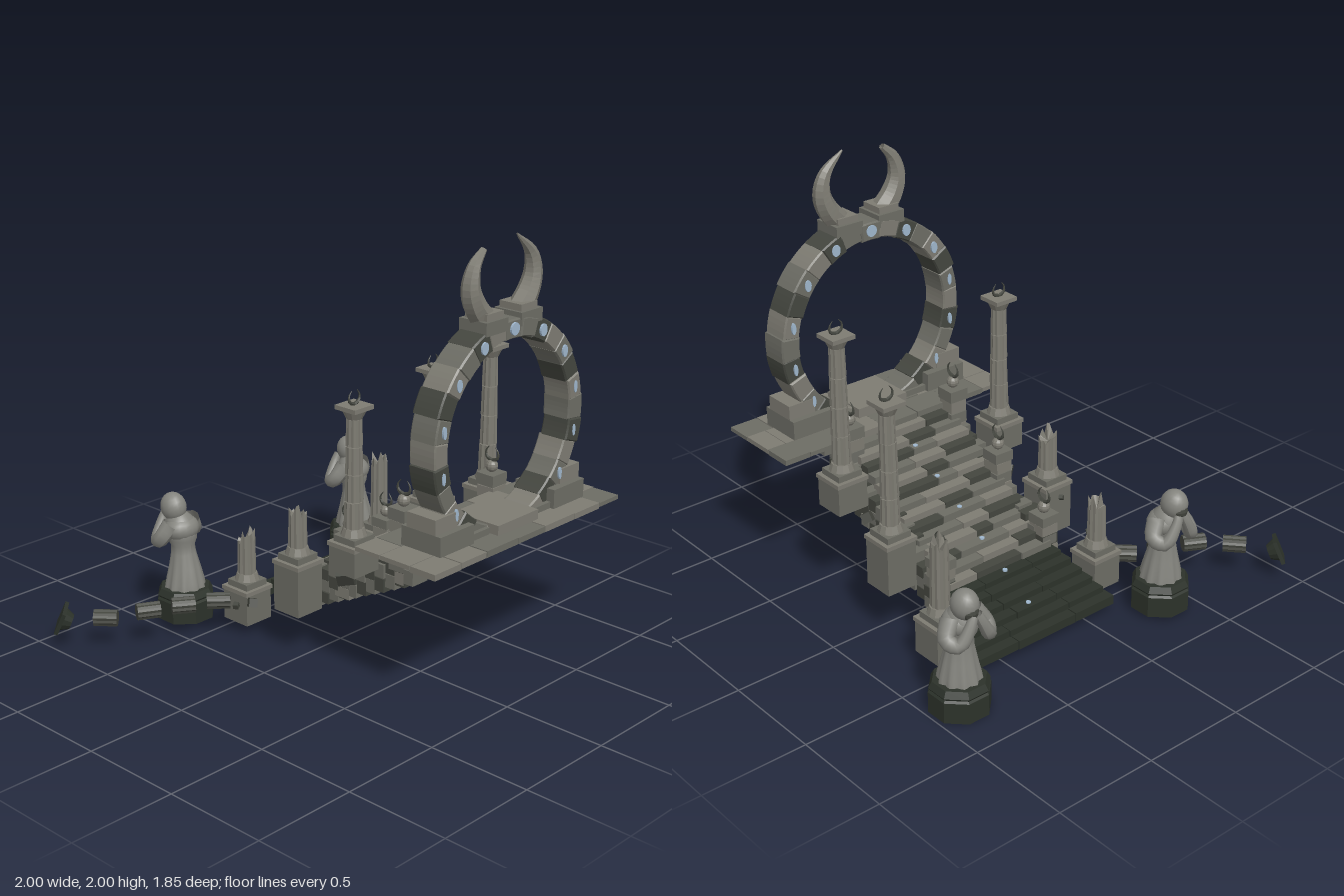
import * as THREE from 'three';

const mat = (color, flatShading = true) => new THREE.MeshStandardMaterial({ color, flatShading, side: THREE.DoubleSide });
const STONE = mat(0x6c6c64), PALE = mat(0x7d7b72), DARK = mat(0x44463f), MOSS = mat(0x2c322a);
const ROBE = mat(0x84847e, false), GLOW = mat(0x9fb6cc);

let seed = 7;
const rnd = (a = -1, b = 1) => {
  seed = (seed * 16807) % 2147483647;
  return a + (b - a) * (seed / 2147483647);
};

function add(parent, name, geo, m, x = 0, y = 0, z = 0) {
  const mesh = new THREE.Mesh(geo, m);
  mesh.name = name;
  mesh.position.set(x, y, z);
  parent.add(mesh);
  return mesh;
}
function group(parent, name, x = 0, y = 0, z = 0) {
  const g = new THREE.Group();
  g.name = name;
  g.position.set(x, y, z);
  parent.add(g);
  return g;
}
// Box given by its minimum and maximum corners
const block = (p, name, x0, x1, y0, y1, z0, z1, m = STONE) =>
  add(p, name, new THREE.BoxGeometry(x1 - x0, y1 - y0, z1 - z0), m, (x0 + x1) / 2, (y0 + y1) / 2, (z0 + z1) / 2);

// Tube along points, its rings narrowed from r0 to r1
function taperTube(points, r0, r1, segs = 12, sides = 7, power = 1) {
  const curve = new THREE.CatmullRomCurve3(points.map((p) => new THREE.Vector3(...p)));
  const geo = new THREE.TubeGeometry(curve, segs, 1, sides);
  const pos = geo.attributes.position, v = new THREE.Vector3();
  for (let i = 0; i < pos.count; i++) {
    const t = Math.floor(i / (sides + 1)) / segs, c = curve.getPointAt(t);
    v.fromBufferAttribute(pos, i).sub(c).multiplyScalar(r0 + (r1 - r0) * t ** power).add(c);
    pos.setXYZ(i, v.x, v.y, v.z);
  }
  geo.computeVertexNormals();
  return geo;
}

// Small pair of horns, spread along local x
function finial(p, y, s) {
  const f = group(p, 'hornFinial', 0, y, 0);
  for (const k of [-1, 1])
    add(f, 'smallHorn', taperTube([[0, 0, 0], [k * 0.45 * s, 0.25 * s, 0], [k * 0.5 * s, 0.65 * s, 0], [k * 0.25 * s, s, 0]], 0.16 * s, 0.02 * s, 8, 5), DARK);
  return f;
}

// Fluted shaft; a broken one ends in splinters
function shaftGeometry(r0, r1, h, broken) {
  const geo = new THREE.CylinderGeometry(r1, r0, h, 20, 1);
  const pos = geo.attributes.position;
  const jag = Array.from({ length: 20 }, () => rnd(-0.05, 0.03));
  for (let i = 0; i < pos.count; i++) {
    const x = pos.getX(i), y = pos.getY(i), z = pos.getZ(i);
    if (Math.hypot(x, z) < 1e-4) { if (broken && y > 0) pos.setY(i, y - 0.05); continue; }
    const k = (Math.round((Math.atan2(z, x) / (2 * Math.PI)) * 20) + 20) % 20;
    const f = k % 2 ? 0.88 : 1;
    pos.setXYZ(i, x * f, broken && y > 0 ? y + jag[k] : y, z * f);
  }
  geo.computeVertexNormals();
  return geo;
}

// Column on a pedestal: bottom, pedestal top, top of the shaft
function column(p, x, z, y0, y1, top, broken) {
  const c = group(p, broken ? 'brokenColumn' : 'column', x, 0, z);
  block(c, 'pedestal', -0.078, 0.078, y0, y1 - 0.02, -0.078, 0.078);
  block(c, 'pedestalCap', -0.084, 0.084, y1 - 0.02, y1, -0.084, 0.084, PALE);
  block(c, 'plinth', -0.064, 0.064, y1, y1 + 0.03, -0.064, 0.064);
  add(c, 'columnBase', new THREE.CylinderGeometry(0.048, 0.06, 0.035, 12), PALE, 0, y1 + 0.047, 0);
  const s0 = y1 + 0.06, n = broken ? 1 : 4, h = (top - s0) / n;
  for (let i = 0; i < n; i++) {
    const r = 0.045 - 0.002 * i;
    add(c, 'drum', shaftGeometry(r, r - 0.003, h - (broken ? 0 : 0.004), broken), PALE, rnd() * 0.002, s0 + h * (i + 0.5), 0).rotation.y = broken ? 0 : rnd() * 0.1;
  }
  if (broken) return;
  add(c, 'capital', new THREE.CylinderGeometry(0.056, 0.037, 0.04, 12), PALE, 0, top + 0.02, 0);
  block(c, 'abacus', -0.06, 0.06, top + 0.04, top + 0.06, -0.06, 0.06, PALE);
  finial(c, top + 0.06, 0.065);
}

// Stair post of stacked stones with a ball and horns
function post(p, x, z, y0, y1) {
  const g = group(p, 'stairPost', x, 0, z), n = 6, h = (y1 - y0) / n;
  for (let i = 0; i < n; i++) {
    const w = i === n - 1 ? 0.05 : 0.041 + rnd(0, 0.006);
    block(g, 'postStone', -w, w, y0 + i * h, y0 + (i + 1) * h - 0.004, -w, w, i % 2 ? STONE : PALE).rotation.y = rnd() * 0.04;
  }
  add(g, 'ball', new THREE.SphereGeometry(0.03, 10, 8), PALE, 0, y1 + 0.026, 0);
  finial(g, y1 + 0.05, 0.07).rotation.y = Math.PI / 2;
}

// Mourning hooded figure on an octagonal base, facing -z
function statue(p, x, y, z, mirror) {
  const s = group(p, 'hoodedStatue', x, y, z);
  s.scale.x = mirror;
  const oct = [[0, 0], [0.14, 0], [0.14, 0.1], [0.132, 0.11], [0.138, 0.12], [0.122, 0.15], [0, 0.15]];
  add(s, 'octagonBase', new THREE.LatheGeometry(oct.map((q) => new THREE.Vector2(...q)), 8), MOSS).rotation.y = Math.PI / 8;
  const f = group(s, 'figure', 0, 0.15, 0);
  const prof = [[0.094, 0], [0.09, 0.03], [0.075, 0.1], [0.06, 0.17], [0.057, 0.21], [0.07, 0.24], [0.078, 0.29], [0.062, 0.34], [0.03, 0.37], [0, 0.375]];
  const robe = new THREE.LatheGeometry(prof.map((q) => new THREE.Vector2(...q)), 40);
  const pos = robe.attributes.position;
  for (let i = 0; i < pos.count; i++) {
    const px = pos.getX(i), py = pos.getY(i), pz = pos.getZ(i);
    const k = 1 + 0.07 * Math.sin(Math.atan2(pz, px) * 10) * Math.max(0, 1 - py / 0.22);
    pos.setXYZ(i, px * k, py, pz * k - 0.03 * (py / 0.37) ** 2);
  }
  robe.computeVertexNormals();
  add(f, 'robe', robe, ROBE);
  // Shoulder cape
  const cape = add(f, 'cape', new THREE.SphereGeometry(0.088, 16, 12), ROBE, 0, 0.29, -0.015);
  cape.scale.set(1, 0.75, 0.9);
  // Hood bowed forward, with a shadowed face
  const hood = add(f, 'hood', new THREE.SphereGeometry(0.066, 16, 12), ROBE, 0.012, 0.39, -0.055);
  hood.scale.set(0.9, 1.08, 1);
  hood.rotation.x = -0.35;
  add(f, 'face', new THREE.SphereGeometry(0.04, 12, 8), DARK, 0.012, 0.372, -0.086);
  // Arms raised to the face
  for (const k of [-1, 1]) {
    add(f, 'sleeve', taperTube([[k * 0.06, 0.32, -0.02], [k * 0.105, 0.25, -0.05], [k * 0.08, 0.235, -0.1], [k * 0.03, 0.32, -0.115], [k * 0.012, 0.36, -0.11]], 0.045, 0.02, 14, 10), ROBE);
  }
}

export function createModel() {
  const root = new THREE.Group();
  root.name = 'moonGateStairway';
  const CX = 0.255;

  // Paved platform
  const plat = group(root, 'platform');
  const rows = [0.455, 0.6, 0.77, 0.91];
  for (let r = 0; r < 3; r++) {
    let x = -0.39;
    while (x < 0.9) {
      let e = x + rnd(0.14, 0.22);
      if (e > 0.82) e = 0.9;
      block(plat, 'paver', x, e - 0.004, 0.69 + rnd() * 0.006, 0.717 + rnd() * 0.004, rows[r], rows[r + 1] - 0.004, rnd() > 0 ? STONE : PALE);
      x = e;
    }
  }
  for (const k of [-1, 1]) {
    const side = (name, a, b, ...rest) => block(plat, name, CX + Math.min(k * a, k * b), CX + Math.max(k * a, k * b), ...rest);
    side('underStone', 0.25, 0.4, 0.64, 0.69, 0.5, 0.78);
    side('underStone', 0.4, 0.55, 0.655, 0.69, 0.52, 0.74, DARK);
    side('gateFootLower', 0.28, 0.5, 0.72, 0.81, 0.59, 0.81);
    side('gateFootUpper', 0.36, 0.5, 0.81, 0.88, 0.62, 0.78, PALE);
    side('gateFootStep', 0.15, 0.3, 0.72, 0.75, 0.61, 0.79);
  }
  block(plat, 'underBeam', CX - 0.26, CX + 0.26, 0.65, 0.69, 0.5, 0.78, DARK);
  block(plat, 'threshold', CX - 0.14, CX + 0.14, 0.715, 0.765, 0.58, 0.83, PALE);

  // Ring of wedge stones with moon discs
  const ring = group(root, 'ringGate', CX, 1.15, 0.7);
  const N = 28, half = Math.PI / N - 0.009;
  for (let i = 0; i < N; i++) {
    const a = Math.PI / 2 + (i * 2 * Math.PI) / N, ro = 0.5 + rnd() * 0.008, ri = 0.42 + rnd() * 0.004;
    const s = new THREE.Shape();
    s.absarc(0, 0, ro, a - half, a + half, false);
    s.absarc(0, 0, ri, a + half, a - half, true);
    const geo = new THREE.ExtrudeGeometry(s, { depth: 0.13, bevelSize: 0.006, bevelThickness: 0.008, bevelSegments: 1, curveSegments: 2 });
    add(ring, 'ringStone', geo, [STONE, PALE, DARK][i % 3], 0, 0, -0.065 + rnd() * 0.005);
    if (i % 2 || Math.sin(a) < -0.8) continue;
    const phase = Math.max(0.35, 1 - Math.min(i, N - i) * 0.1);
    for (const k of [-1, 1]) {
      const d = add(ring, 'moonDisc', new THREE.CylinderGeometry(0.028, 0.028, 0.01, 16), GLOW, Math.cos(a) * 0.46, Math.sin(a) * 0.46, k * 0.076);
      d.rotation.x = Math.PI / 2;
      d.scale.x = phase;
    }
  }

  // Great horns on the ring
  for (const k of [-1, 1]) {
    const h = group(root, 'greatHorn', CX, 0, 0.7);
    block(h, 'hornSocketLower', Math.min(k * 0.045, k * 0.19), Math.max(k * 0.045, k * 0.19), 1.61, 1.67, -0.075, 0.075);
    block(h, 'hornSocketUpper', Math.min(k * 0.06, k * 0.17), Math.max(k * 0.06, k * 0.17), 1.66, 1.7, -0.06, 0.06, PALE);
    const pts = [[k * 0.12, 1.66, 0], [k * 0.18, 1.73, 0], [k * 0.21, 1.81, 0], [k * 0.19, 1.9, 0]];
    pts.push(k > 0 ? [0.09, 1.995, 0] : [-0.13, 1.965, 0]);
    add(h, 'horn', taperTube(pts, 0.056, k > 0 ? 0.004 : 0.015, 16, 7, 1.7), PALE);
  }

  // Stairs: overlapping rows of planks, widening at the foot
  const stairs = group(root, 'stairs');
  const S = 20, run = 1.07 / S;
  for (let i = 0; i < S; i++) {
    const z = -0.6 + i * run, top = 0.085 + i * 0.0315;
    const w = i < 6 ? 0.4 - i * 0.017 : 0.3;
    const cuts = [-w, -w * rnd(0.25, 0.5), w * rnd(0, 0.5), w];
    for (let j = 0; j < 3; j++)
      block(stairs, 'tread', CX + cuts[j], CX + cuts[j + 1] - 0.004, top - 0.042, top + rnd() * 0.003, z + rnd() * 0.004, z + run + 0.012, i < 6 ? MOSS : [STONE, DARK, PALE][(i + j) % 3]);
    if (i % 3 === 2) add(stairs, 'stepDisc', new THREE.CylinderGeometry(0.012, 0.012, 0.008, 12), GLOW, CX, top + 0.003, z + run / 2);
  }
  // Stepped side walls
  for (const x of [-0.05, 0.56])
    for (let i = 0; i < 14; i++) {
      const z = -0.27 + i * 0.0575, y = 0.1 + i * 0.0275, h = rnd(0.17, 0.22);
      for (let j = 0; j < 3; j++) {
        const w = 0.04 + rnd(0, 0.012);
        block(stairs, 'wallStone', x - w, x + w, y + (j * h) / 3, y + ((j + 1) * h) / 3 - 0.004, z, z + 0.055, (i + j) % 2 ? STONE : DARK);
      }
    }
  post(root, -0.05, 0.43, 0.44, 0.8);
  post(root, 0.56, 0.43, 0.44, 0.8);
  post(root, -0.05, 0.1, 0.27, 0.6);
  post(root, -0.05, -0.225, 0.09, 0.4);
  post(root, 0.56, -0.225, 0.09, 0.4);

  // Columns beside the stairs
  column(root, 0.715, 0.28, 0.5, 0.66, 1.29, false);
  column(root, 0.715, -0.07, 0.25, 0.5, 1.1, false);
  column(root, 0.715, -0.41, 0.06, 0.24, 0.63, true);
  column(root, -0.21, 0.28, 0.5, 0.64, 1.21, false);
  column(root, -0.21, -0.07, 0.2, 0.45, 0.7, true);
  column(root, -0.21, -0.41, 0.05, 0.22, 0.48, true);

  statue(root, 0.85, 0, -0.705, 1);
  statue(root, -0.34, 0.02, -0.705, -1);

  // Fallen column: drums and its capital
  const fallen = group(root, 'fallenColumn');
  for (const [x, y, z, turn] of [[-0.35, 0.165, -0.46, 0.75], [-0.5, 0.165, -0.54, 0.6], [-0.66, 0.17, -0.605, 0.5], [-0.82, 0.15, -0.72, 0.85]]) {
    const d = add(fallen, 'fallenDrum', shaftGeometry(0.04, 0.04, 0.11, false), DARK, x, y, z);
    d.rotation.set(0, -turn, Math.PI / 2);
  }
  const cap = group(fallen, 'fallenCapital', -0.935, 0.13, -0.86);
  add(cap, 'capital', new THREE.CylinderGeometry(0.055, 0.036, 0.04, 12), MOSS);
  block(cap, 'abacus', -0.058, 0.058, 0.02, 0.038, -0.058, 0.058, MOSS);
  cap.rotation.set(0.2, -0.8, 1.3);

  // Rubble
  for (const [x, y, z, s] of [[-0.34, 0.17, -0.35, 0.025], [-0.31, 0.2, -0.27, 0.04], [-0.2, 0.4, -0.18, 0.02], [-0.1, 0.33, -0.11, 0.06], [-0.14, 0.42, 0.16, 0.075], [0.65, 0.45, 0.19, 0.045]])
    add(root, 'rubble', new THREE.BoxGeometry(s, s, s), DARK, x, y, z).rotation.set(rnd(), rnd(), rnd());

  return root;
}
